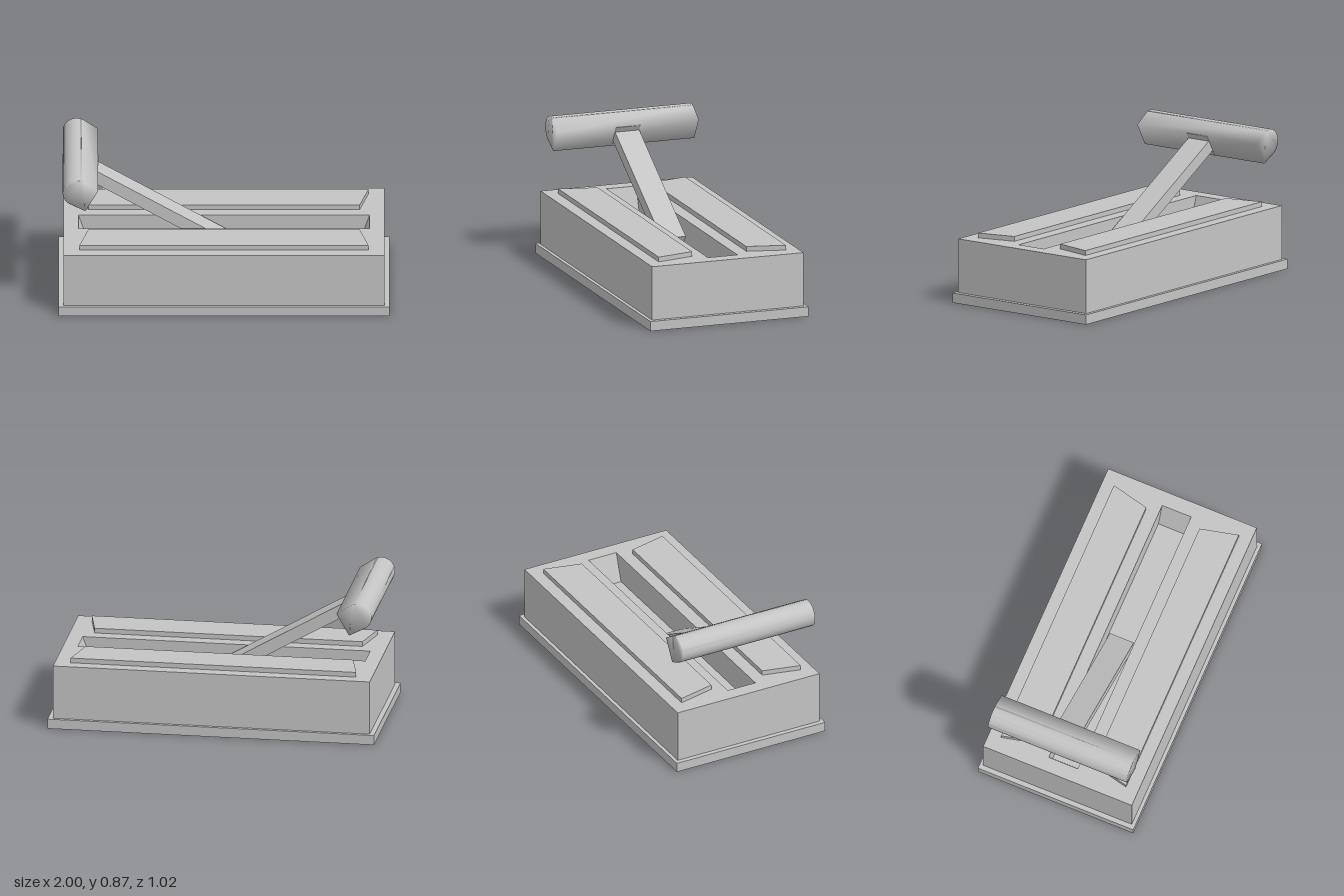
import * as THREE from 'three';
import { mergeVertices } from 'three/addons/utils/BufferGeometryUtils.js';

export function createModel() {
  const model = new THREE.Group();
  const grey = new THREE.MeshStandardMaterial({ color: 0xc4c4c4 });
  grey.name = 'grey';

  const add = (parent, name, geometry, x = 0, y = 0, z = 0) => {
    const mesh = new THREE.Mesh(geometry, grey);
    mesh.name = name;
    mesh.position.set(x, y, z);
    parent.add(mesh);
    return mesh;
  };
  const points = (list) => list.map(([x, y]) => new THREE.Vector2(x, y));
  // Extrudes a plan outline (x, -z) upwards
  const slab = (shape, height) =>
    new THREE.ExtrudeGeometry(shape, { depth: height, bevelEnabled: false }).rotateX(-Math.PI / 2);

  // Base plate
  add(model, 'basePlate', new THREE.BoxGeometry(2, 0.06, 1.02), 0, 0.03, 0);

  // Housing with a long slot whose end walls slope inwards going down
  const outline = new THREE.Shape(points([[-0.97, -0.488], [0.97, -0.488], [0.97, 0.488], [-0.97, 0.488]]));
  outline.holes.push(new THREE.Path(points([[-0.88, -0.095], [-0.88, 0.095], [0.88, 0.095], [0.88, -0.095]])));
  const housing = slab(outline, 0.333);
  const pos = housing.attributes.position;
  for (let i = 0; i < pos.count; i++) {
    const x = pos.getX(i);
    if (Math.abs(x) < 0.9 && pos.getY(i) < 0.1) pos.setX(i, Math.sign(x) * 0.765);
  }
  housing.computeVertexNormals();
  add(model, 'housing', housing, 0, 0.06, 0);
  add(model, 'slotFloor', new THREE.BoxGeometry(1.64, 0.02, 0.19), 0, 0.21, 0);

  // Raised rails with tapered ends on both sides of the slot
  for (const side of [1, -1]) {
    const rail = new THREE.Shape(points([
      [-0.875, side * 0.41], [0.875, side * 0.41], [0.82, side * 0.175], [-0.82, side * 0.175],
    ]));
    add(model, side > 0 ? 'backRail' : 'frontRail', slab(rail, 0.03), 0, 0.393, 0);
  }

  // Tilted lever; its local y runs along the arm
  const lever = new THREE.Group();
  lever.name = 'lever';
  lever.position.set(0.011, 0.27, 0);
  lever.rotation.z = Math.PI / 3;
  model.add(lever);
  add(lever, 'leverArm', new THREE.BoxGeometry(0.075, 0.96, 0.156), 0, 0.48, 0);
  add(lever, 'gripCollar', new THREE.BoxGeometry(0.152, 0.02, 0.156), 0, 0.944, 0);

  // Grip bar: flat underside, rounded top, softly shaded
  const profile = new THREE.Shape();
  profile.moveTo(-0.077, 0.936);
  profile.lineTo(0.077, 0.936);
  profile.lineTo(0.083, 1.043);
  profile.absarc(0, 1.043, 0.083, 0, Math.PI, false);
  profile.closePath();
  let grip = new THREE.ExtrudeGeometry(profile, { depth: 0.91, bevelEnabled: false, curveSegments: 16 });
  grip.deleteAttribute('normal');
  grip.deleteAttribute('uv');
  grip = mergeVertices(grip);
  grip.computeVertexNormals();
  add(lever, 'grip', grip, 0, 0, -0.455);

  return model;
}
